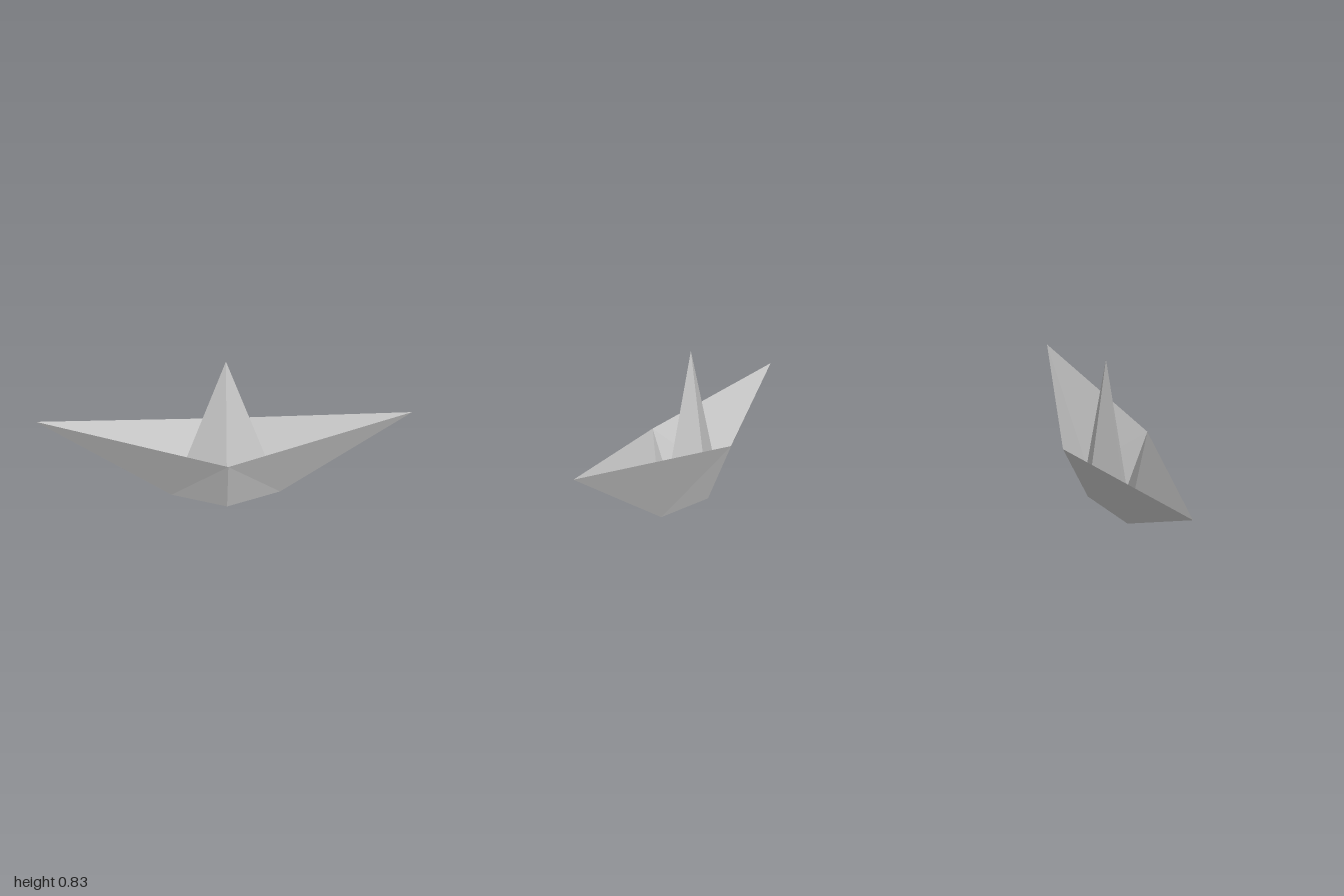
import * as THREE from 'three';

const tipAt = (e) => [e, 0.5, 0];
const keelEndAt = (e) => [0.307, 0, 0].map((v) => v * e);
const rimMiddle = { 1: [0, 0.346, 0.246], '-1': [0, 0.346, -0.246] };
const baseMiddle = { 1: [0, 0.002, 0.127], '-1': [0, 0.005, -0.109] };
const apex = [0, 0.828, 0];

// Builds the four quarters of a folded sheet, keeping every face outward
function foldedSheet(name, quarter) {
  const points = [];
  for (const side of [1, -1]) {
    for (const end of [1, -1]) {
      for (const [a, b, c] of quarter(side, end)) {
        points.push(...a, ...(side * end > 0 ? [...b, ...c] : [...c, ...b]));
      }
    }
  }
  const geometry = new THREE.BufferGeometry();
  geometry.setAttribute('position', new THREE.Float32BufferAttribute(points, 3));
  geometry.computeVertexNormals();
  const material = new THREE.MeshStandardMaterial({
    color: 0xcccccc, flatShading: true, side: THREE.DoubleSide,
  });
  const mesh = new THREE.Mesh(geometry, material);
  mesh.name = name;
  return mesh;
}

export function createModel() {
  const boat = new THREE.Group();
  boat.name = 'paperBoat';

  // Flared hull with raised pointed ends, open above
  boat.add(foldedSheet('hull', (side, end) => [
    [keelEndAt(end), tipAt(end), rimMiddle[side]],
    [baseMiddle[side], keelEndAt(end), rimMiddle[side]],
  ]));

  // Hollow centre peak, rising from the open diamond base
  boat.add(foldedSheet('sail', (side, end) => [
    [baseMiddle[side], keelEndAt(end), apex],
  ]));

  return boat;
}
